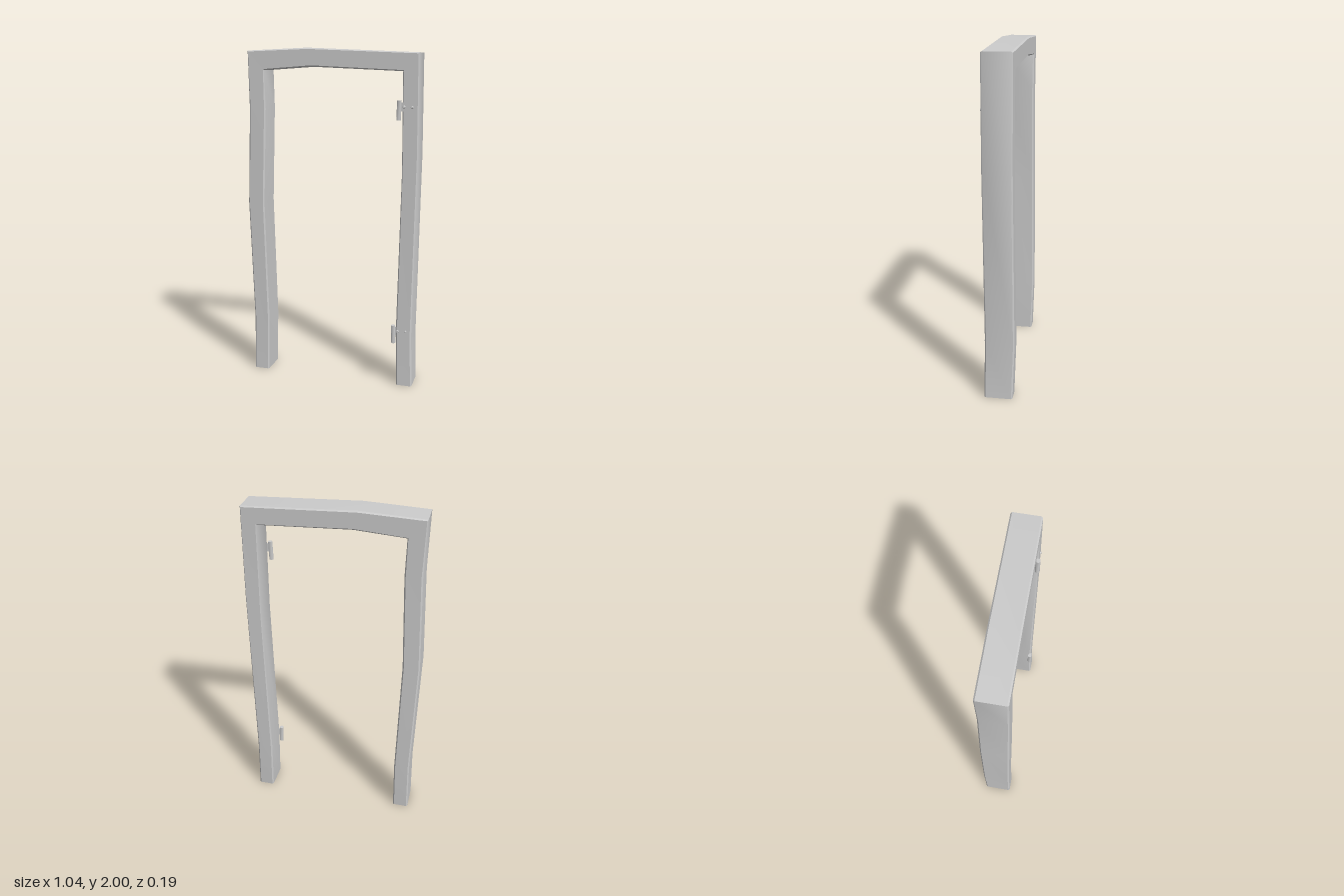
import * as THREE from 'three';
import { toCreasedNormals } from 'three/addons/utils/BufferGeometryUtils.js';

const grey = new THREE.MeshStandardMaterial({ color: 0xcccccc });
const greyOpen = new THREE.MeshStandardMaterial({ color: 0xcccccc, side: THREE.DoubleSide });

// Chamfered rectangular ring; outer/inner are [x, y], front/back are z.
function ring([outer, inner, front, back], c = 0.008) {
  const o = new THREE.Vector2(...outer), i = new THREE.Vector2(...inner);
  const t = c / o.distanceTo(i);
  const at = (k, z) => {
    const p = o.clone().lerp(i, k);
    return [p.x, p.y, z];
  };
  return [
    at(t, front), at(1 - t, front), at(1, front - c), at(1, back + c),
    at(1 - t, back), at(t, back), at(0, back + c), at(0, front - c),
  ];
}

// Skin between consecutive rings, open at both ends.
function loft(sections) {
  const rings = sections.map((s) => ring(s));
  const n = rings[0].length, index = [];
  for (let r = 0; r < rings.length - 1; r++) {
    for (let k = 0; k < n; k++) {
      const a = r * n + k, b = r * n + (k + 1) % n;
      index.push(a, b, a + n, b, b + n, a + n);
    }
  }
  const g = new THREE.BufferGeometry();
  g.setAttribute('position', new THREE.Float32BufferAttribute(rings.flat(2), 3));
  g.setIndex(index);
  return toCreasedNormals(g, 0.6);
}

function add(parent, name, geometry, material, x = 0, y = 0, z = 0) {
  const mesh = new THREE.Mesh(geometry, material);
  mesh.name = name;
  mesh.position.set(x, y, z);
  parent.add(mesh);
  return mesh;
}

// Barrel beside the post, a leaf let into it and two domed screws.
function hinge(name, x, y, z, tilt) {
  const g = new THREE.Group();
  g.name = name;
  const barrel = new THREE.CylinderGeometry(0.013, 0.013, 0.11, 8);
  add(g, 'hingeBarrel', toCreasedNormals(barrel, 0.9), grey);
  add(g, 'hingeLeaf', new THREE.BoxGeometry(0.09, 0.05, 0.008), grey, 0.045, 0.02, -0.005);
  const screw = new THREE.CylinderGeometry(0.005, 0.009, 0.008, 8).rotateX(Math.PI / 2);
  for (const sx of [0.028, 0.074]) add(g, 'hingeScrew', screw, grey, sx, 0.02, 0.005);
  g.position.set(x, y, z);
  g.rotation.z = tilt;
  return g;
}

export function createModel() {
  const model = new THREE.Group();
  model.name = 'doorFrame';

  // Mitred corners shared by posts and beam
  const cornerR = [[-0.507, 1.985], [-0.405, 1.873], 0.082, -0.085];
  const cornerL = [[0.51, 1.972], [0.42, 1.87], 0.082, -0.085];

  // Each post runs from the floor up to its mitre
  const rightPost = [
    [[-0.505, 0], [-0.41, 0], 0.083, -0.083],
    [[-0.5, 0.33], [-0.405, 0.33], 0.077, -0.093],
    [[-0.521, 1.08], [-0.42, 1.08], 0.084, -0.086],
    [[-0.501, 1.65], [-0.4, 1.65], 0.083, -0.083],
    cornerR,
  ];
  const leftPost = [
    [[0.51, 0], [0.415, 0], 0.083, -0.083],
    [[0.5, 0.33], [0.406, 0.33], 0.077, -0.093],
    [[0.515, 1.4], [0.425, 1.3], 0.083, -0.084],
    cornerL,
  ];
  const beam = [cornerR, [[-0.14, 2], [-0.115, 1.893], 0.082, -0.085], cornerL];

  // Run the left post downward so all skins face outward
  add(model, 'rightPost', loft(rightPost), greyOpen);
  add(model, 'leftPost', loft(leftPost.reverse()), greyOpen);
  add(model, 'beam', loft(beam), greyOpen);

  model.add(hinge('upperHinge', 0.402, 1.655, 0.082, -0.03));
  model.add(hinge('lowerHinge', 0.391, 0.322, 0.074, 0.03));
  return model;
}
